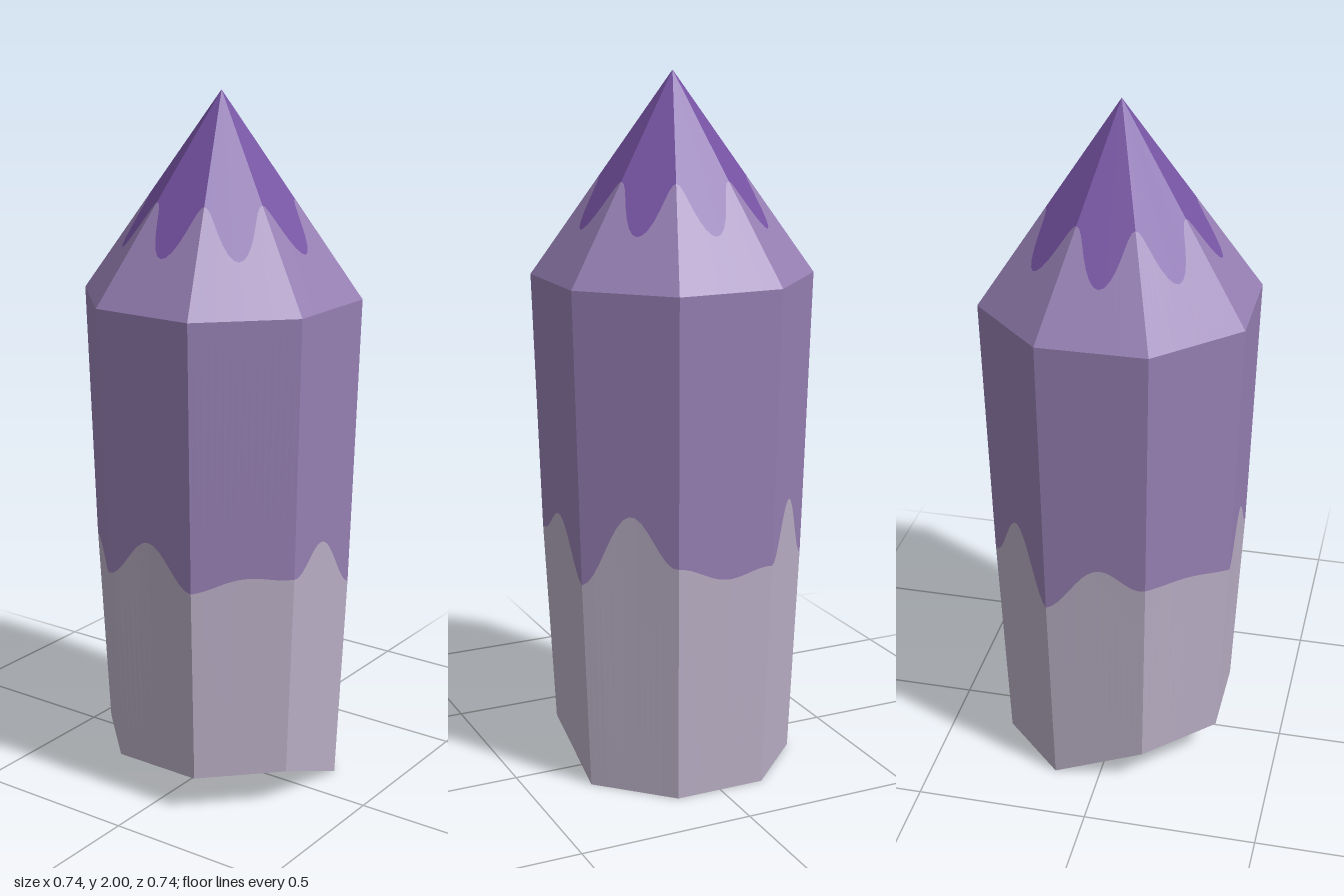
import * as THREE from 'three';

const SIDES = 8, STEPS = 16;
const SHOULDER_Y = 1.44, SHOULDER_R = 0.398, WAIST_R = 0.376, BASE_R = 0.346;

// Height of the colour edge at the right-hand corner and the middle of each facet,
// starting with the front facet and turning towards +x
const edgeCorner = [0.68, 0.705, 0.61, 0.69, 0.66, 0.61, 0.71, 0.68];
const edgeMiddle = [0.8, 0.715, 0.775, 0.825, 0.64, 0.815, 0.755, 0.705];
// Base corners: broken off higher at the front
const baseCorner = [0.11, 0.11, 0, 0, 0, 0, 0.11, 0.11];

const previous = (k) => (k + SIDES - 1) % SIDES;
const bump = (t) => Math.sin(Math.PI * t) ** 2;

// Point on facet k, t from 0 to 1 across it, at corner radius r and height y
function facetPoint(k, t, r, y) {
  const a = (k - 0.5) * Math.PI * 2 / SIDES, b = (k + 0.5) * Math.PI * 2 / SIDES;
  return new THREE.Vector3(
    r * THREE.MathUtils.lerp(Math.sin(a), Math.sin(b), t), y,
    r * THREE.MathUtils.lerp(Math.cos(a), Math.cos(b), t));
}

// Rings of the crystal from the bottom up
const baseCentre = () => new THREE.Vector3(0, 0.085, 0);
const baseRing = (k, t) => facetPoint(k, t, BASE_R,
  THREE.MathUtils.lerp(baseCorner[previous(k)], baseCorner[k], t));
const colourEdge = (k, t) => {
  const c0 = edgeCorner[previous(k)], c1 = edgeCorner[k];
  const y = THREE.MathUtils.lerp(c0, c1, t) + (edgeMiddle[k] - (c0 + c1) / 2) * bump(t);
  const r = WAIST_R + (SHOULDER_R - WAIST_R) * (y - 0.7) / (SHOULDER_Y - 0.7);
  return facetPoint(k, t, r, y);
};
const shoulder = (k, t) => facetPoint(k, t, SHOULDER_R, SHOULDER_Y);
const tipEdge = (k, t) => {
  const f = 0.515 + 0.24 * bump(t);
  return facetPoint(k, t, SHOULDER_R * f, 2 - (2 - SHOULDER_Y) * f);
};
const apex = () => new THREE.Vector3(0, 2, 0);

// Flat-shaded band between two rings
function band(name, material, lower, upper, steps = STEPS) {
  const points = [];
  for (let k = 0; k < SIDES; k++) {
    for (let i = 0; i < steps; i++) {
      const t0 = i / steps, t1 = (i + 1) / steps;
      const a = lower(k, t0), b = lower(k, t1), c = upper(k, t1), d = upper(k, t0);
      if (a.distanceTo(b) > 1e-6) points.push(a, b, c);
      if (c.distanceTo(d) > 1e-6) points.push(a, c, d);
    }
  }
  const geometry = new THREE.BufferGeometry().setFromPoints(points);
  geometry.computeVertexNormals();
  const mesh = new THREE.Mesh(geometry, material);
  mesh.name = name;
  return mesh;
}

function makeMaterial(name, color) {
  const material = new THREE.MeshStandardMaterial({ color });
  material.name = name;
  return material;
}

export function createModel() {
  const paleGrey = makeMaterial('paleGrey', 0xbab0c6);
  const lilac = makeMaterial('lilac', 0x967fb3);
  const violet = makeMaterial('violet', 0x7653a3);

  const crystal = new THREE.Group();
  crystal.name = 'crystal';
  crystal.add(
    band('brokenUnderside', paleGrey, baseCentre, baseRing, 1),
    band('cloudyRoot', paleGrey, baseRing, colourEdge),
    band('shaft', lilac, colourEdge, shoulder),
    band('pointLower', lilac, shoulder, tipEdge),
    band('pointTip', violet, tipEdge, apex));
  return crystal;
}
